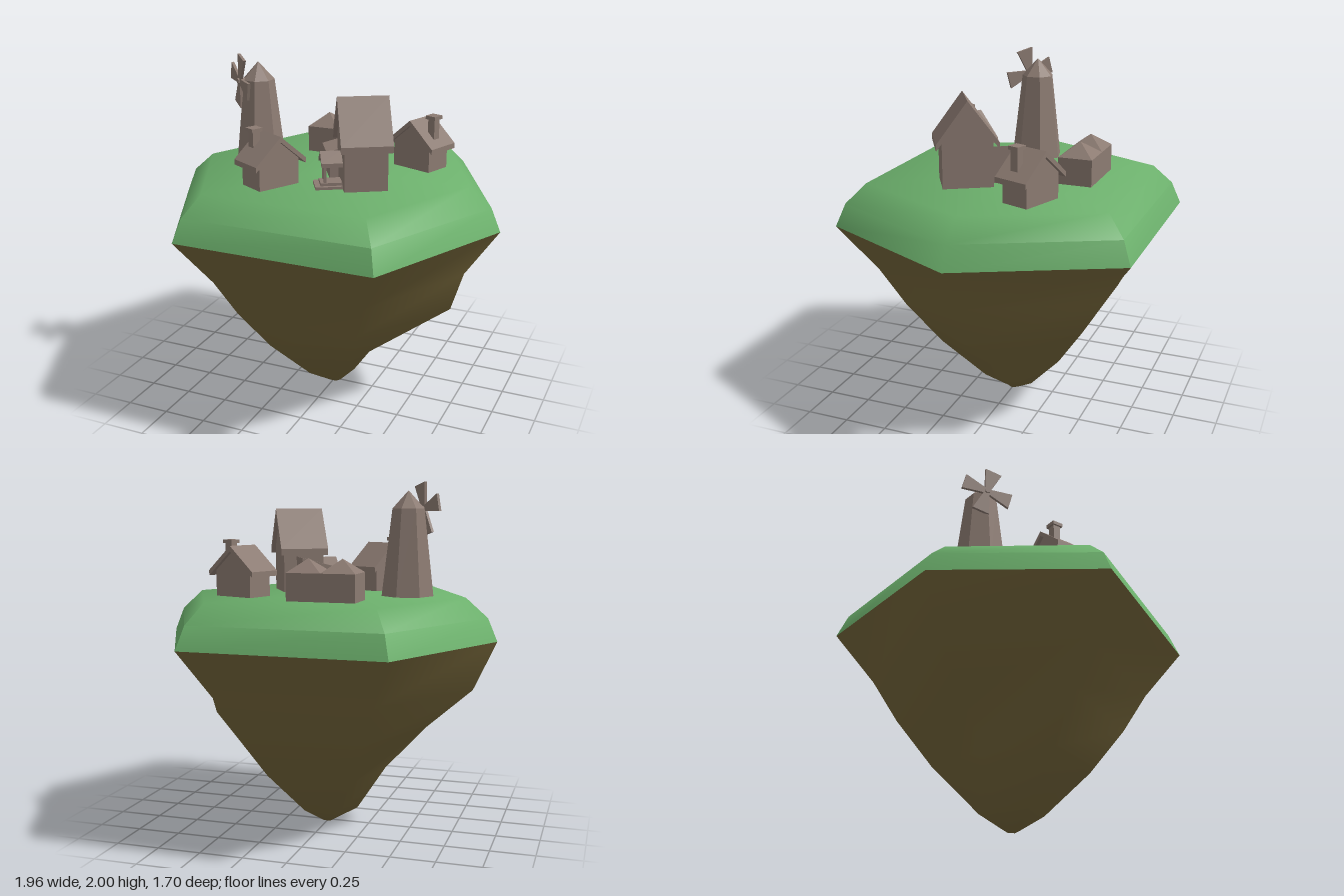
import * as THREE from 'three';
import { toCreasedNormals } from 'three/addons/utils/BufferGeometryUtils.js';

const GROUND = 1.36;
const mat = (color) => new THREE.MeshStandardMaterial({ color });
const grassMat = mat(0x6cb06c);
const soilMat = mat(0x75663a);
const stoneMat = mat(0x8c7b72);
stoneMat.flatShading = true;

function add(parent, name, geometry, x = 0, y = 0, z = 0, material = stoneMat) {
  const mesh = new THREE.Mesh(geometry, material);
  mesh.name = name;
  mesh.position.set(x, y, z);
  parent.add(mesh);
  return mesh;
}

function place(parent, name, x, z, turn, y = GROUND) {
  const group = new THREE.Group();
  group.name = name;
  group.position.set(x, y, z);
  group.rotation.y = turn;
  parent.add(group);
  return group;
}

// Box standing on its base
const block = (w, h, d) => new THREE.BoxGeometry(w, h, d).translate(0, h / 2, 0);

// Extrude a gable outline [side, height] along x, centred
function alongX(points, length) {
  const shape = new THREE.Shape(points.map(([a, b]) => new THREE.Vector2(a, b)));
  return new THREE.ExtrudeGeometry(shape, { depth: length, bevelEnabled: false })
    .translate(0, 0, -length / 2).rotateY(Math.PI / 2);
}

// Chevron roof slab
function roofGeometry(length, width, eave, ridge, t) {
  const h = width / 2;
  return alongX([[-h, eave - t], [0, ridge - t], [h, eave - t], [h, eave], [0, ridge], [-h, eave]], length);
}

// Gabled body and roof, ridge along x
function house(group, o) {
  const edge = o.ridge - (o.ridge - o.eave) * o.w / o.roofW - o.t / 2;
  const h = o.w / 2;
  add(group, 'walls', alongX([[-h, 0], [h, 0], [h, edge], [0, o.ridge - o.t / 2], [-h, edge]], o.l));
  add(group, 'roof', roofGeometry(o.roofL, o.roofW, o.eave, o.ridge, o.t));
}

// Loft of irregular hexagons; each ring is [right x, left x, z, y], bottom to top
function hexLoft(rings) {
  const pos = [], index = [], n = rings.length;
  for (const [r, l, z, y] of rings) {
    const c = z * 0.67;
    pos.push(r, y, 0, c, y, z, -c, y, z, -l, y, 0, -c, y, -z, c, y, -z);
  }
  pos.push(0, rings[0][3], 0, 0, rings[n - 1][3], 0);
  for (let i = 0; i < 6; i++) {
    const j = (i + 1) % 6;
    for (let k = 0; k < n - 1; k++) {
      const a = k * 6 + i, b = k * 6 + j;
      index.push(a, a + 6, b, b, a + 6, b + 6);
    }
    index.push(n * 6, i, j, n * 6 + 1, (n - 1) * 6 + j, (n - 1) * 6 + i);
  }
  const g = new THREE.BufferGeometry();
  g.setAttribute('position', new THREE.Float32BufferAttribute(pos, 3));
  g.setIndex(index);
  g.computeVertexNormals();
  return g;
}

export function createModel() {
  const model = new THREE.Group();
  model.name = 'floatingIsland';

  // Island
  add(model, 'soil', toCreasedNormals(hexLoft([
    [0.04, 0.02, 0.03, 0], [0.13, 0.18, 0.15, 0.09], [0.31, 0.35, 0.37, 0.35], [0.72, 0.59, 0.54, 0.61],
    [0.79, 0.85, 0.66, 0.84], [0.98, 0.98, 0.85, 1.12],
  ]), 1.2), 0, 0, 0, soilMat);
  add(model, 'grass', toCreasedNormals(hexLoft([
    [0.98, 0.98, 0.85, 1.12], [0.925, 0.925, 0.8, 1.25], [0.8, 0.8, 0.7, GROUND],
  ]), 0.9), 0, 0, 0, grassMat);

  // Two cottages: [x, z, turn, chimney x, chimney z]
  for (const [x, z, turn, cx, cz] of [[-0.213, 0.387, -0.5, -0.052, 0.065], [0.426, -0.26, 1.22, -0.01, 0.097]]) {
    const cottage = place(model, 'cottage', x, z, turn);
    house(cottage, { l: 0.165, w: 0.255, roofL: 0.21, roofW: 0.325, eave: 0.145, ridge: 0.285, t: 0.03 });
    add(cottage, 'chimney', block(0.045, 0.15, 0.045), cx, 0.15, cz);
    add(cottage, 'chimneyCap', block(0.066, 0.02, 0.066), cx, 0.295, cz);
  }

  // Main house
  const main = place(model, 'mainHouse', 0.246, 0.192, 0.53);
  house(main, { l: 0.235, w: 0.28, roofL: 0.28, roofW: 0.345, eave: 0.255, ridge: 0.487, t: 0.037 });

  // Porch on the gable end
  const porch = place(main, 'porch', -0.19, 0.012, 0, 0);
  add(porch, 'lowerStep', block(0.15, 0.015, 0.14));
  add(porch, 'upperStep', block(0.12, 0.016, 0.1), 0.015, 0.015);
  for (const s of [-1, 1]) add(porch, 'post', block(0.013, 0.125, 0.013), -0.02, 0.03, s * 0.036);
  add(porch, 'porchRoof', roofGeometry(0.115, 0.14, 0.145, 0.197, 0.022), 0.015);

  // Side room with a single sloping roof
  const room = place(main, 'sideRoom', 0, 0, 0, 0);
  const lean = new THREE.Shape([[-0.165, 0], [0.04, 0], [0.04, 0.195], [-0.165, 0.13]].map((p) => new THREE.Vector2(...p)));
  const slab = new THREE.Shape([[-0.182, 0.13], [0.045, 0.19], [0.045, 0.21], [-0.182, 0.15]].map((p) => new THREE.Vector2(...p)));
  add(room, 'roomWalls', new THREE.ExtrudeGeometry(lean, { depth: 0.2, bevelEnabled: false }), 0, 0, -0.305);
  add(room, 'roomRoof', new THREE.ExtrudeGeometry(slab, { depth: 0.2, bevelEnabled: false }), 0, 0, -0.32);

  // Storehouse with twin pyramid roofs
  const store = place(model, 'storehouse', -0.105, -0.39, 0);
  add(store, 'storeWalls', block(0.385, 0.152, 0.194));
  for (const s of [-1, 1]) {
    const pyramid = new THREE.CylinderGeometry(0, 0.0965 * Math.SQRT2, 0.075, 4).rotateY(Math.PI / 4);
    add(store, 'storeRoof', pyramid, s * 0.096, 0.152 + 0.0375, 0);
  }

  // Windmill
  const mill = place(model, 'windmill', -0.46, 0.03, 0);
  const facet = 0.245;
  add(mill, 'tower', new THREE.CylinderGeometry(0.092, 0.15, 0.49, 7).rotateY(facet), 0, 0.245, 0);
  add(mill, 'towerCap', new THREE.CylinderGeometry(0, 0.092, 0.1, 7).rotateY(facet), 0, 0.54, 0);
  const rotor = place(mill, 'rotor', 0, 0, -0.75, 0.487);
  add(rotor, 'hub', new THREE.CylinderGeometry(0.016, 0.016, 0.08, 6).rotateX(Math.PI / 2), 0, 0, 0.085);
  const bladeShape = new THREE.Shape([[-0.014, 0], [0.014, 0], [0.05, 0.145], [-0.05, 0.145]].map((p) => new THREE.Vector2(...p)));
  const bladeGeo = new THREE.ExtrudeGeometry(bladeShape, { depth: 0.016, bevelEnabled: false });
  for (let i = 0; i < 4; i++) {
    add(rotor, 'blade', bladeGeo, 0, 0, 0.1).rotation.z = -0.26 + i * Math.PI / 2;
  }
  return model;
}
